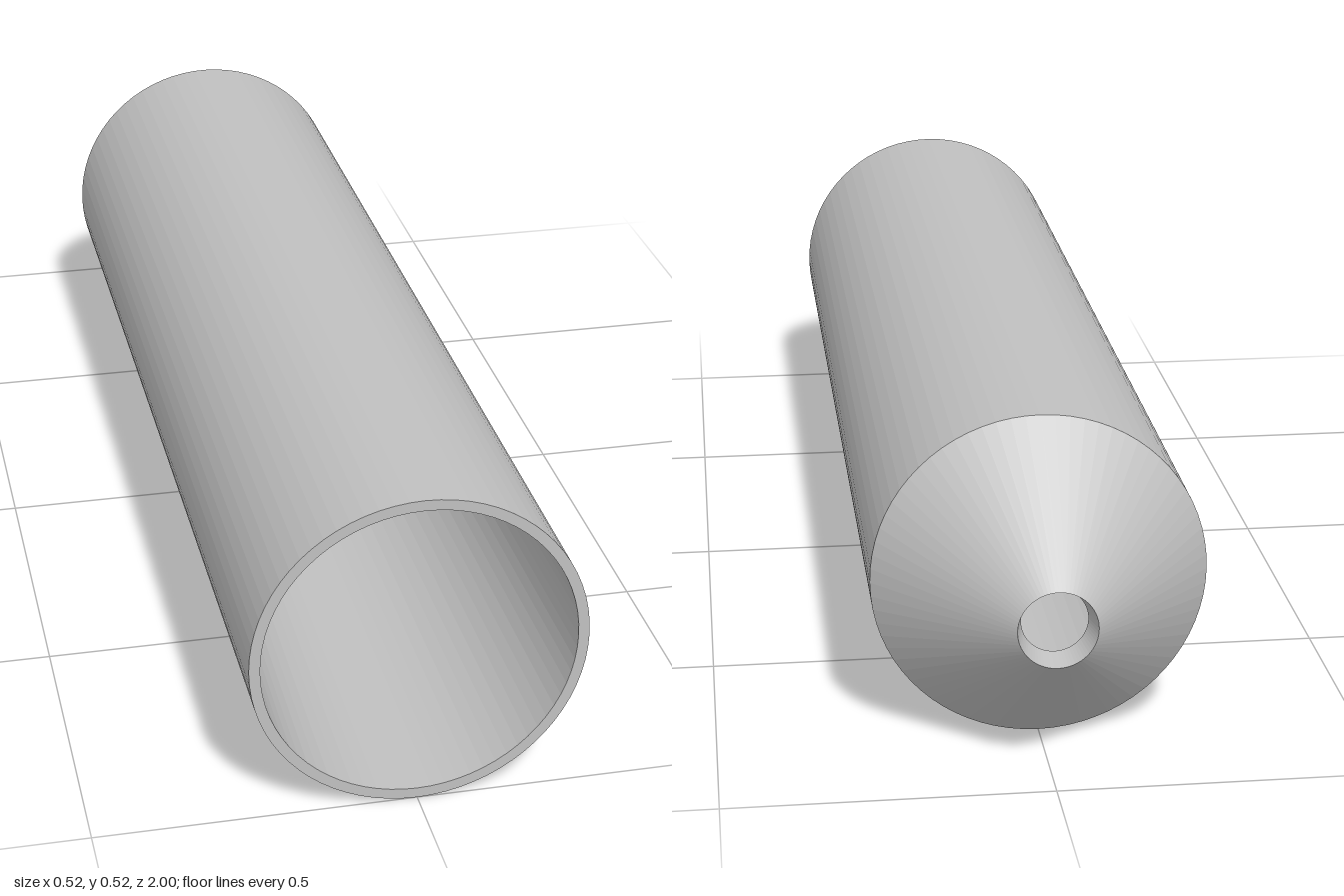
import * as THREE from 'three';

const SIDES = 72;
const RADIUS = 0.26;

export function createModel() {
  const model = new THREE.Group();
  model.name = 'hollowTube';
  const grey = new THREE.MeshStandardMaterial({ color: 0xc0c0c0, flatShading: true });
  grey.name = 'lightGrey';

  // Turned surface about the z axis; each profile point is [radius, z]
  function turned(name, profile) {
    const points = profile.map(([r, z]) => new THREE.Vector2(r, z));
    const geometry = new THREE.LatheGeometry(points, SIDES);
    geometry.rotateX(Math.PI / 2);
    const mesh = new THREE.Mesh(geometry, grey);
    mesh.name = name;
    mesh.position.y = RADIUS;
    model.add(mesh);
  }

  // Outside, from the narrow nose to the open front
  turned('noseCone', [[0.06, -1], [RADIUS, -0.79]]);
  turned('outerWall', [[RADIUS, -0.79], [RADIUS, 1]]);
  turned('frontRim', [[RADIUS, 1], [0.243, 1]]);

  // Inside, back from the open front to the nose hole
  turned('taperedBore', [[0.243, 1], [0.223, -0.78]]);
  turned('innerCone', [[0.223, -0.78], [0.05, -0.96]]);
  turned('noseHole', [[0.05, -0.96], [0.06, -1]]);

  return model;
}
